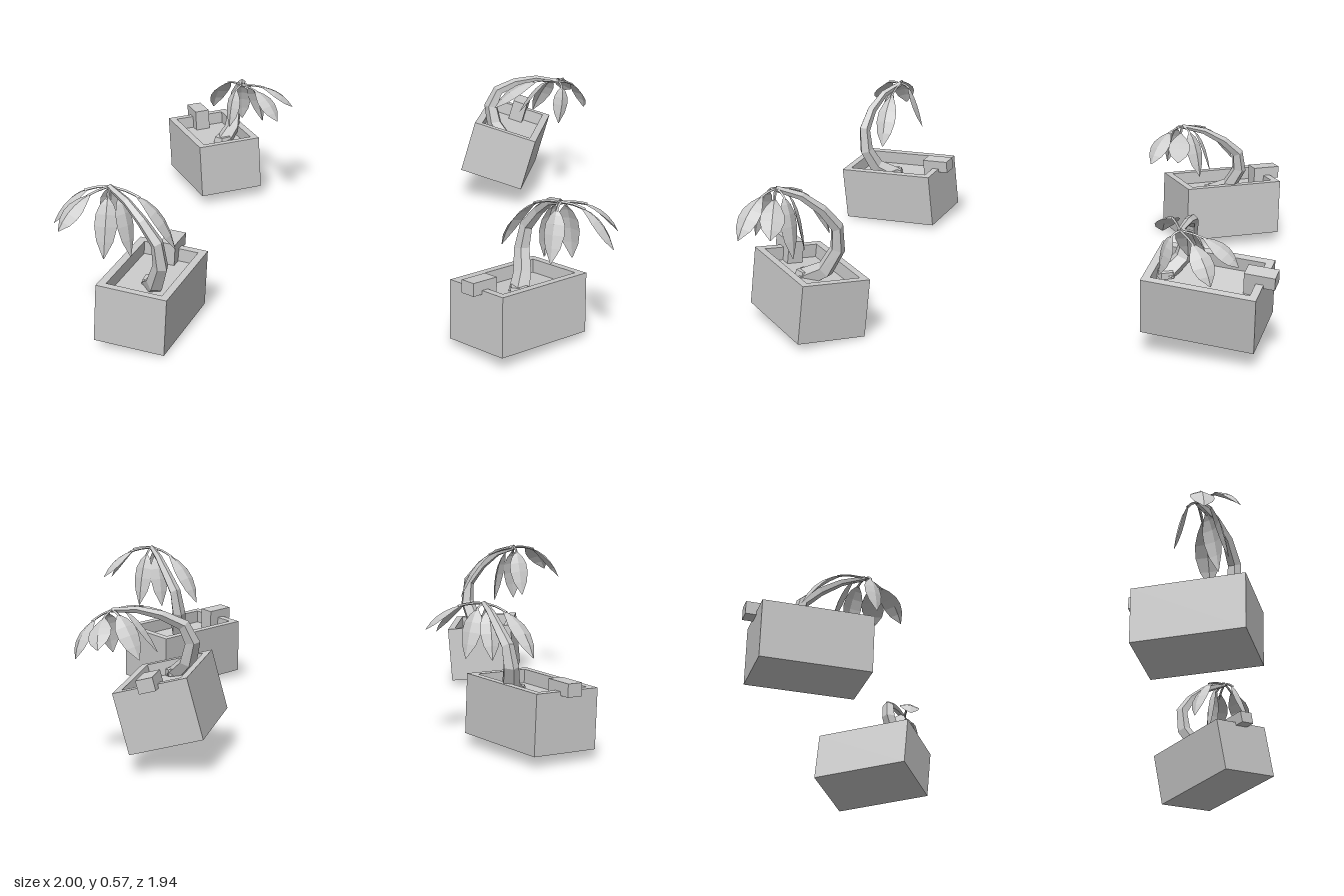
import * as THREE from 'three';

const grey = new THREE.MeshStandardMaterial({ color: 0xcccccc, flatShading: true });
const thin = new THREE.MeshStandardMaterial({ color: 0xcccccc, flatShading: true, side: THREE.DoubleSide });
const L = 0.41, W = 0.265, H = 0.22, WALL = 0.028;
const rad = THREE.MathUtils.degToRad;

function add(parent, name, geometry, material = grey) {
  const mesh = new THREE.Mesh(geometry, material);
  mesh.name = name;
  parent.add(mesh);
  return mesh;
}

function rectangle(path, l, w) {
  path.moveTo(-l / 2, -w / 2);
  path.lineTo(l / 2, -w / 2);
  path.lineTo(l / 2, w / 2);
  path.lineTo(-l / 2, w / 2);
  path.closePath();
  return path;
}

// Open box with soil and an L-shaped hook over one end; origin at rim centre
function createPot() {
  const pot = new THREE.Group();
  pot.name = 'pot';
  const shape = rectangle(new THREE.Shape(), L, W);
  shape.holes.push(rectangle(new THREE.Path(), L - 2 * WALL, W - 2 * WALL));
  const walls = new THREE.ExtrudeGeometry(shape, { depth: H, bevelEnabled: false });
  walls.rotateX(-Math.PI / 2).translate(0, -H, 0);
  add(pot, 'potWalls', walls);
  const soilHeight = H - 0.05;
  add(pot, 'soil', new THREE.BoxGeometry(L - 2 * WALL, soilHeight, W - 2 * WALL))
    .position.y = -H + soilHeight / 2;
  add(pot, 'hookBar', new THREE.BoxGeometry(0.11, 0.048, 0.06)).position.set(L / 2 - 0.015, 0.01, 0);
  add(pot, 'hookLeg', new THREE.BoxGeometry(0.04, 0.06, 0.06)).position.set(L / 2 - 0.05, -0.035, 0);
  return pot;
}

// Five-sided stem, narrowed towards its tip
function stemGeometry(points) {
  const curve = new THREE.CatmullRomCurve3(points);
  const rows = 6, sides = 5;
  const g = new THREE.TubeGeometry(curve, rows, 1, sides, false);
  const p = g.attributes.position, v = new THREE.Vector3();
  for (let i = 0; i < p.count; i++) {
    const t = Math.floor(i / (sides + 1)) / rows;
    const c = curve.getPointAt(t);
    v.fromBufferAttribute(p, i).sub(c).multiplyScalar(0.038 - 0.027 * t).add(c);
    p.setXYZ(i, v.x, v.y, v.z);
  }
  return g;
}

// Folded blade running along a drooping curve
function leafGeometry(curve, yaw, width) {
  const profile = [0.05, 0.6, 0.95, 1, 0.75, 0.04];
  const side = new THREE.Vector3(-Math.sin(yaw), 0, Math.cos(yaw));
  const pos = [], index = [];
  profile.forEach((w, i) => {
    const t = 0.28 + 0.72 * i / (profile.length - 1);
    const c = curve.getPoint(t);
    const up = curve.getTangent(t).cross(side).normalize();
    if (up.y < 0) up.negate();
    for (const k of [-1, 0, 1]) {
      const q = c.clone().addScaledVector(side, k * w * width / 2);
      q.addScaledVector(up, -Math.abs(k) * w * width * 0.16);
      pos.push(q.x, q.y, q.z);
    }
    if (i) {
      for (let k = 0; k < 2; k++) {
        const a = (i - 1) * 3 + k, b = a + 3;
        index.push(a, a + 1, b, a + 1, b + 1, b);
      }
    }
  });
  const g = new THREE.BufferGeometry();
  g.setAttribute('position', new THREE.Float32BufferAttribute(pos, 3));
  g.setIndex(index);
  g.computeVertexNormals();
  return g;
}

// Leaves as yaw in degrees, reach, drop, width
const LEAVES = [
  [-72, 0.21, 0.12, 0.085],
  [-36, 0.19, 0.15, 0.085],
  [-120, 0.11, 0.23, 0.08],
  [60, 0.08, 0.2, 0.075],
  [162, 0.25, 0.2, 0.085],
  [-170, 0.12, 0.23, 0.075],
];

function createPlant() {
  const plant = new THREE.Group();
  plant.name = 'plant';
  const points = [
    [0, -0.06, 0], [-0.06, 0, -0.06], [-0.09, 0.13, -0.08],
    [-0.02, 0.225, -0.09], [0.07, 0.285, -0.08], [0.155, 0.305, -0.06],
  ].map(p => new THREE.Vector3(...p));
  add(plant, 'stem', stemGeometry(points), thin);
  const stump = new THREE.CylinderGeometry(0.034, 0.04, 0.03, 5);
  add(plant, 'stemFoot', stump).position.y = -0.045;
  const tip = points[points.length - 1];
  for (const [deg, reach, drop, width] of LEAVES) {
    const yaw = rad(deg);
    const at = (r, y) => tip.clone().add(new THREE.Vector3(Math.cos(yaw) * r, y, Math.sin(yaw) * r));
    const curve = new THREE.QuadraticBezierCurve3(tip, at(reach * 0.75, 0), at(reach, -drop));
    add(plant, 'leaf', leafGeometry(curve, yaw, width), thin);
    // Stalk follows the first part of the leaf curve
    const stalkPath = new THREE.CatmullRomCurve3([0, 0.17, 0.34].map(t => curve.getPoint(t)));
    add(plant, 'leafStalk', new THREE.TubeGeometry(stalkPath, 4, 0.005, 4), thin);
  }
  return plant;
}

// Rim centre, up direction, pot yaw, plant yaw, plant offset and plant height
const PLANTERS = [
  { name: 'backRight', at: [-0.6, 0.26, -0.715], up: [-0.02, 1, 0], pot: 244, plant: 72, shift: [0.045, 0.035], tall: 0.82 },
  { name: 'backLeft', at: [0.693, 0.317, -0.72], up: [0.245, 1, 0], pot: 283, plant: 0, shift: [-0.03, 0.15], tall: 0.78 },
  { name: 'frontRight', at: [-0.665, 0.242, 0.685], up: [0.09, 1, 0.05], pot: 284, plant: 208, shift: [0, 0.02], tall: 1 },
  { name: 'frontLeft', at: [0.635, 0.245, 0.715], up: [-0.02, 1, -0.12], pot: 139, plant: 58, shift: [0, 0.02], tall: 1 },
];

export function createModel() {
  const model = new THREE.Group();
  model.name = 'planters';
  for (const d of PLANTERS) {
    const planter = new THREE.Group();
    planter.name = d.name + 'Planter';
    planter.position.set(...d.at);
    planter.quaternion.setFromUnitVectors(new THREE.Vector3(0, 1, 0), new THREE.Vector3(...d.up).normalize());
    const pot = createPot();
    pot.rotation.y = -rad(d.pot);
    const plant = createPlant();
    plant.rotation.y = -rad(d.plant);
    plant.position.set(d.shift[0], 0, d.shift[1]);
    plant.scale.y = d.tall;
    planter.add(pot, plant);
    model.add(planter);
  }
  return model;
}
